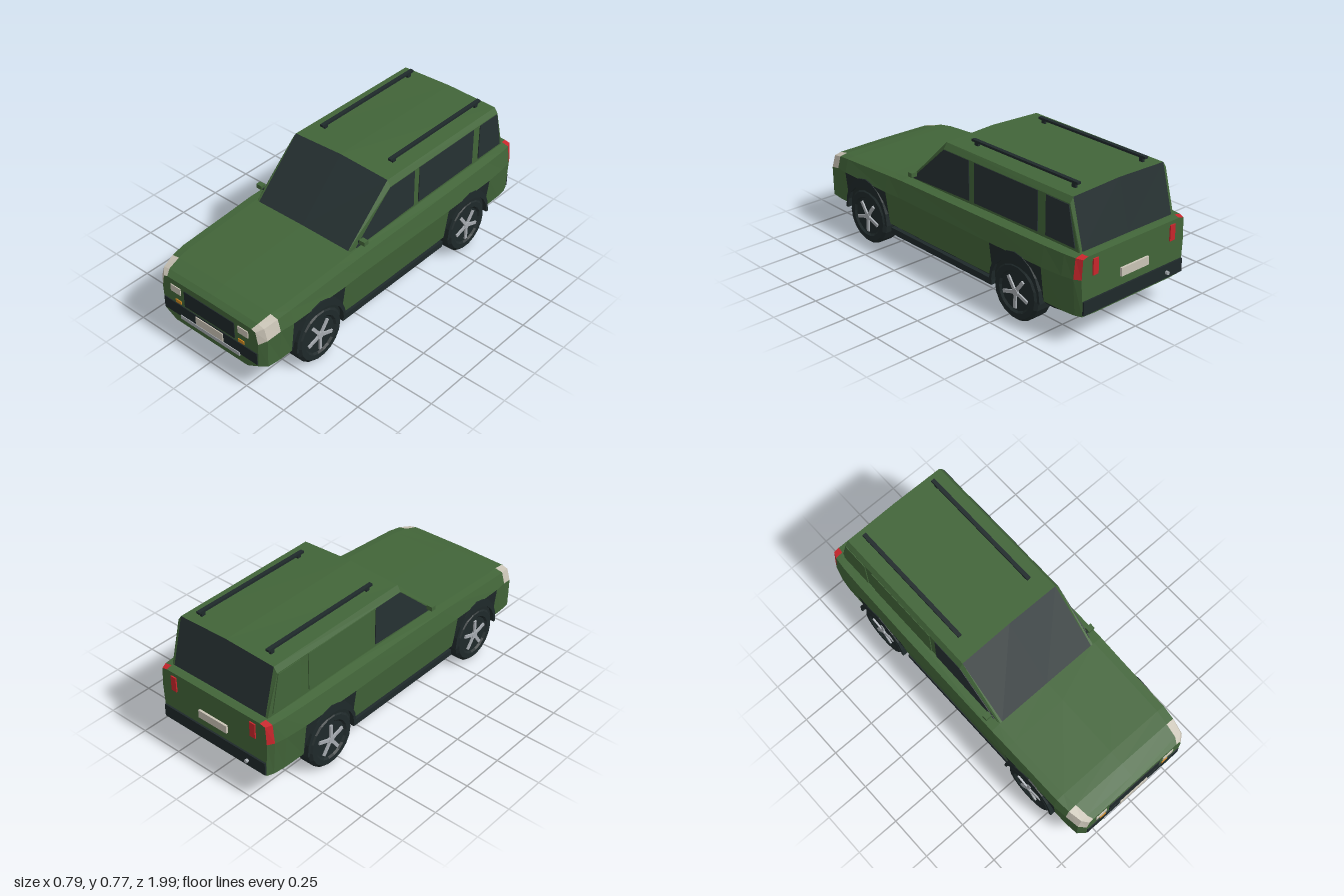
import * as THREE from 'three';

const mat = (name, color) => {
  const m = new THREE.MeshStandardMaterial({ color });
  m.name = name;
  return m;
};
const green = mat('bodyGreen', 0x426539);
const glass = mat('darkGlass', 0x263132);
const trim = mat('darkTrim', 0x1f292a);
const cream = mat('creamLens', 0xcac4b6);
const amber = mat('amberLens', 0xc98520);
const red = mat('redLens', 0xc9262c);
const silver = mat('silver', 0xa6abb0);

const flat = (g) => {
  const f = g.index ? g.toNonIndexed() : g;
  f.computeVertexNormals();
  return f;
};

function add(parent, name, geometry, material, x = 0, y = 0, z = 0) {
  const m = new THREE.Mesh(geometry, material);
  m.name = name;
  m.position.set(x, y, z);
  parent.add(m);
  return m;
}

// box given by its limits
const box = (parent, name, material, x0, x1, y0, y1, z0, z1) =>
  add(parent, name, new THREE.BoxGeometry(x1 - x0, y1 - y0, z1 - z0), material,
    (x0 + x1) / 2, (y0 + y1) / 2, (z0 + z1) / 2);

// Mirrored half sections [z, [[x, y], ...]] joined front to back, one mesh per colour
function loft(name, sections, pick, capMaterial) {
  const group = new THREE.Group();
  group.name = name;
  const tris = new Map();
  const tri = (m, ...pts) => {
    if (!tris.has(m)) tris.set(m, []);
    pts.forEach((p) => tris.get(m).push(...p));
  };
  const rings = sections.map(([z, half]) => [
    ...half.map(([x, y]) => [x, y, z]),
    ...half.slice(0, -1).reverse().map(([x, y]) => [-x, y, z]),
  ]);
  const rows = rings[0].length - 1;
  for (let i = 0; i < rings.length - 1; i++) {
    for (let j = 0; j < rows; j++) {
      const m = pick(i, Math.min(j, rows - 1 - j));
      const [a, b, c, d] = [rings[i][j], rings[i][j + 1], rings[i + 1][j], rings[i + 1][j + 1]];
      tri(m, a, c, b);
      tri(m, b, c, d);
    }
  }
  if (capMaterial) {
    const first = rings[0], last = rings[rings.length - 1];
    for (let j = 0; j < rows; j++) {
      tri(capMaterial, [0, 0.28, first[0][2]], first[j], first[j + 1]);
      tri(capMaterial, [0, 0.28, last[0][2]], last[j + 1], last[j]);
    }
  }
  for (const [m, pos] of tris) {
    const g = new THREE.BufferGeometry();
    g.setAttribute('position', new THREE.Float32BufferAttribute(pos, 3));
    g.computeVertexNormals();
    add(group, name + '_' + m.name, g, m);
  }
  return group;
}

// half section: floor, sill, waist, shoulder, deck edge, deck centre
const section = (z, yb, wb, ws, wm, ym, wh, yh, wt, yt, yc) =>
  [z, [[0, yb], [wb, yb], [ws, 0.17], [wm, ym], [wh, yh], [wt, yt], [0, yc]]];

function wheel(s, z) {
  const g = new THREE.Group();
  g.name = 'wheel';
  const profile = [[0, -0.057], [0.14, -0.057], [0.155, -0.042], [0.155, 0.042], [0.14, 0.057],
    [0.112, 0.057], [0.102, 0.047], [0, 0.047]].map(([r, y]) => new THREE.Vector2(r, y));
  add(g, 'tyre', flat(new THREE.LatheGeometry(profile, 18)), trim);
  add(g, 'hub', flat(new THREE.CylinderGeometry(0.02, 0.022, 0.012, 10)), silver, 0, 0.052, 0);
  for (let k = 0; k < 5; k++) {
    const a = (k / 5) * Math.PI * 2 + 0.3;
    const spoke = add(g, 'spoke', new THREE.BoxGeometry(0.018, 0.01, 0.082), silver,
      Math.sin(a) * 0.048, 0.051, Math.cos(a) * 0.048);
    spoke.rotation.y = a;
  }
  g.rotation.z = -s * Math.PI / 2;
  g.position.set(s * 0.335, 0.157, z);
  return g;
}

// plate outlined by [z, y] points on the side s, thickness going outward from x
function sidePlate(parent, name, points, material, s, x, depth) {
  const shape = new THREE.Shape(points.map(([z, y]) => new THREE.Vector2(-s * z, y)));
  const g = new THREE.ExtrudeGeometry(shape, { depth, bevelEnabled: false });
  add(parent, name, g, material, s * x, 0, 0).rotation.y = s * Math.PI / 2;
}

export function createModel() {
  const car = new THREE.Group();
  car.name = 'estateCar';

  // lower body with dark underside, wheel bays and wrapped corner lights
  const body = [
    section(0.985, 0.13, 0.25, 0.325, 0.33, 0.31, 0.315, 0.38, 0.29, 0.388, 0.392),
    section(0.955, 0.11, 0.25, 0.362, 0.365, 0.335, 0.345, 0.4, 0.305, 0.409, 0.412),
    section(0.88, 0.11, 0.27, 0.37, 0.38, 0.355, 0.362, 0.42, 0.315, 0.428, 0.432),
    section(0.80, 0.11, 0.29, 0.37, 0.39, 0.357, 0.37, 0.43, 0.325, 0.436, 0.441),
    section(0.44, 0.11, 0.3, 0.37, 0.396, 0.36, 0.376, 0.45, 0.33, 0.456, 0.461),
    section(0.32, 0.11, 0.3, 0.372, 0.397, 0.365, 0.379, 0.457, 0.33, 0.464, 0.468),
    section(-0.38, 0.11, 0.3, 0.37, 0.396, 0.36, 0.378, 0.465, 0.33, 0.476, 0.476),
    section(-0.74, 0.11, 0.3, 0.37, 0.393, 0.36, 0.374, 0.468, 0.33, 0.478, 0.478),
    section(-0.87, 0.11, 0.27, 0.368, 0.385, 0.362, 0.37, 0.47, 0.325, 0.479, 0.479),
    section(-0.937, 0.145, 0.26, 0.36, 0.375, 0.365, 0.363, 0.47, 0.32, 0.479, 0.479),
    section(-0.972, 0.165, 0.26, 0.345, 0.355, 0.365, 0.348, 0.468, 0.315, 0.475, 0.475),
  ];
  car.add(loft('body', body, (i, j) => {
    if (j < 2) return trim;
    if (j === 2 && (i === 3 || i === 6)) return trim;
    if (j === 3 || j === 4) {
      if (i < 2) return cream;
      if (i === 9) return red;
    }
    return green;
  }, green));

  // cabin: the sloped end faces are the windscreen and rear window
  const cabin = [
    [0.32, [[0.325, 0.455], [0.32, 0.463], [0.307, 0.464], [0, 0.468]]],
    [0.03, [[0.325, 0.455], [0.33, 0.71], [0.31, 0.742], [0, 0.755]]],
    [-0.86, [[0.325, 0.455], [0.328, 0.708], [0.308, 0.737], [0, 0.747]]],
    [-0.927, [[0.325, 0.455], [0.322, 0.478], [0.308, 0.48], [0, 0.481]]],
  ];
  car.add(loft('cabin', cabin, (i, j) => (i !== 1 && j === 2 ? glass : green)));

  for (const s of [1, -1]) {
    // side windows; the rear pair on the right is panelled
    const rearPane = s > 0 ? glass : green;
    sidePlate(car, 'frontSideWindow', [[0.285, 0.475], [0.03, 0.707], [-0.16, 0.707], [-0.16, 0.49]], glass, s, 0.327, 0.005);
    sidePlate(car, 'rearSideWindow', [[-0.2, 0.49], [-0.2, 0.707], [-0.65, 0.707], [-0.65, 0.495]], rearPane, s, 0.327, 0.005);
    sidePlate(car, 'quarterWindow', [[-0.705, 0.495], [-0.705, 0.705], [-0.855, 0.703], [-0.9, 0.495]], rearPane, s, 0.327, 0.005);

    // wheels and arch lips
    for (const z of [0.615, -0.56]) {
      car.add(wheel(s, z));
      const lip = [];
      for (let k = 0; k <= 10; k++) {
        const a = (k / 10) * Math.PI;
        lip.push([z + Math.cos(a) * 0.18, 0.16 + Math.sin(a) * 0.215]);
      }
      for (let k = 10; k >= 0; k--) {
        const a = (k / 10) * Math.PI;
        lip.push([z + Math.cos(a) * 0.165, 0.16 + Math.sin(a) * 0.168]);
      }
      sidePlate(car, 'archLip', lip, trim, s, 0.34, 0.057);
    }

    const sx = (name, m, x0, x1, ...rest) =>
      box(car, name, m, Math.min(s * x0, s * x1), Math.max(s * x0, s * x1), ...rest);
    sx('sillStep', trim, 0.29, 0.372, 0.115, 0.15, -0.37, 0.43);
    // roof rails
    sx('roofRail', trim, 0.219, 0.241, 0.762, 0.774, -0.82, -0.08);
    for (const z of [-0.11, -0.79]) sx('railPost', trim, 0.223, 0.237, 0.738, 0.764, z - 0.012, z + 0.012);
    // door mirrors
    sx('mirrorArm', trim, 0.315, 0.34, 0.495, 0.504, 0.25, 0.264);
    sx('mirror', green, 0.336, 0.372, 0.497, 0.521, 0.242, 0.272);
    // lamps
    sx('headlamp', cream, 0.198, 0.267, 0.315, 0.356, 0.98, 0.99);
    sx('indicator', amber, 0.198, 0.237, 0.257, 0.276, 0.98, 0.99);
    sx('tailLamp', red, 0.25, 0.285, 0.37, 0.455, -0.979, -0.97);
  }

  // front face
  box(car, 'grille', trim, -0.173, 0.173, 0.261, 0.356, 0.98, 0.989);
  box(car, 'frontBumper', trim, -0.322, 0.322, 0.18, 0.249, 0.98, 0.99);
  box(car, 'frontPlate', cream, -0.094, 0.094, 0.195, 0.243, 0.985, 0.995);
  box(car, 'skidStrip', silver, -0.205, 0.205, 0.168, 0.19, 0.985, 0.994);

  // rear face
  box(car, 'rearBumper', trim, -0.345, 0.345, 0.178, 0.25, -0.982, -0.965);
  box(car, 'rearPlate', cream, -0.095, 0.095, 0.3, 0.345, -0.984, -0.97);
  const pipe = flat(new THREE.CylinderGeometry(0.01, 0.01, 0.03, 8).rotateX(Math.PI / 2));
  add(car, 'exhaustTip', pipe, silver, -0.23, 0.21, -0.982);

  return car;
}
